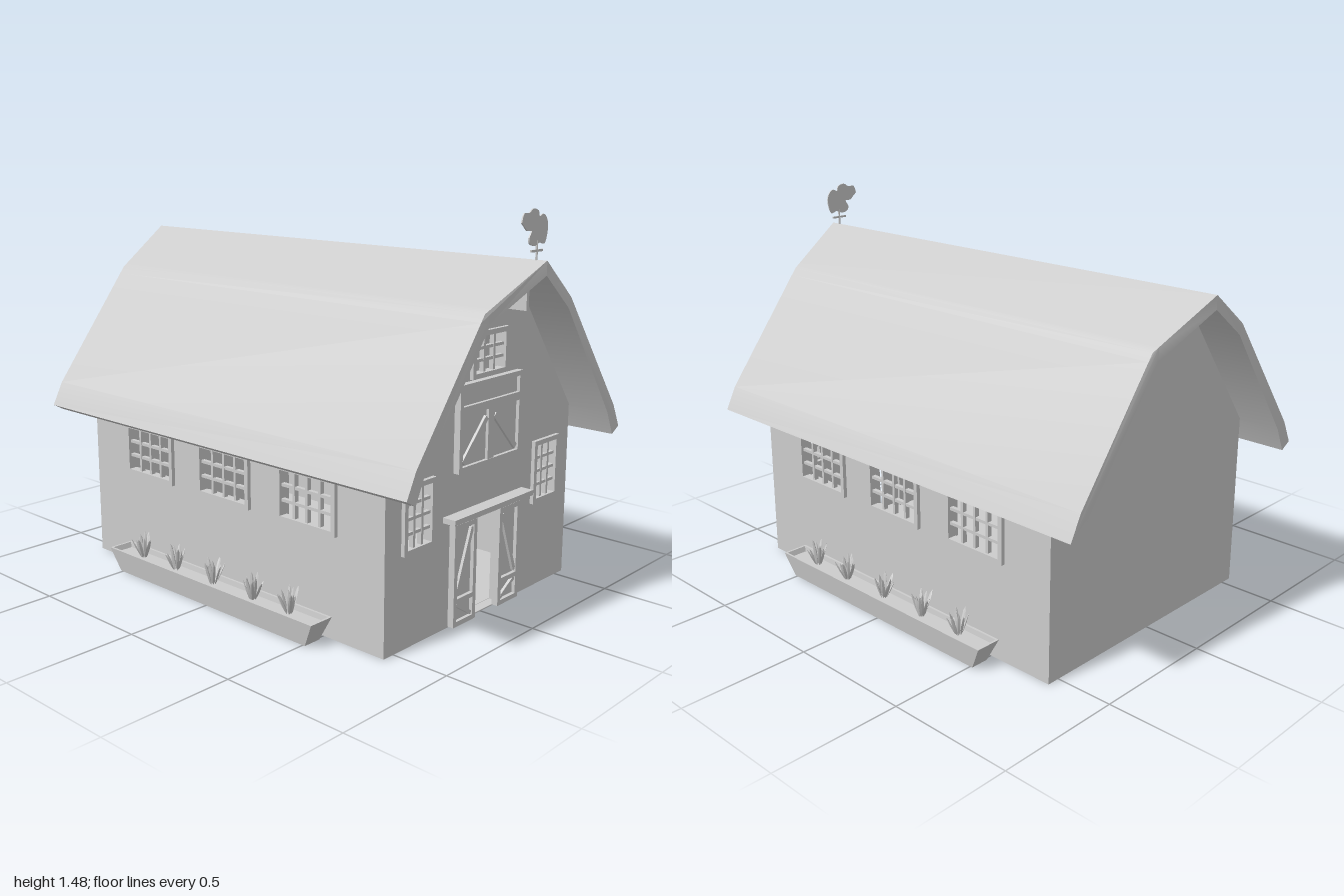
import * as THREE from 'three';
import { toCreasedNormals } from 'three/addons/utils/BufferGeometryUtils.js';

const mat = new THREE.MeshStandardMaterial({ color: 0xcccccc });
const WALL = 0.04, HALF_W = 0.55, HALF_L = 0.775;

function mesh(name, geometry, parent) {
  const m = new THREE.Mesh(geometry, mat);
  m.name = name;
  parent.add(m);
  return m;
}

// Box given by its x, y and z ranges
function box(name, parent, x0, x1, y0, y1, z0, z1) {
  const m = mesh(name, new THREE.BoxGeometry(Math.abs(x1 - x0), y1 - y0, z1 - z0), parent);
  m.position.set((x0 + x1) / 2, (y0 + y1) / 2, (z0 + z1) / 2);
  return m;
}

// Board running between two points in the xy plane
function brace(parent, ax, ay, bx, by, width, z0, z1) {
  const m = mesh('brace', new THREE.BoxGeometry(Math.hypot(bx - ax, by - ay), width, z1 - z0), parent);
  m.position.set((ax + bx) / 2, (ay + by) / 2, (z0 + z1) / 2);
  m.rotation.z = Math.atan2(by - ay, bx - ax);
}

const polygon = (points) => new THREE.Shape(points.map(([x, y]) => new THREE.Vector2(x, y)));

function rectPath(x0, x1, y0, y1) {
  return new THREE.Path([[x0, y0], [x1, y0], [x1, y1], [x0, y1]].map(([x, y]) => new THREE.Vector2(x, y)));
}

// Mirrors a half profile that starts on the centre line
const mirrored = (half) => [...half, ...half.slice(1).reverse().map(([x, y]) => [-x, y])];

function extrude(shape, depth) {
  return new THREE.ExtrudeGeometry(shape, { depth, bevelEnabled: false });
}

// Window frame with open panes, standing slightly proud of a wall whose face is z = 0
function windowFrame(parent, w, h, cols, rows) {
  const group = new THREE.Group();
  group.name = 'window';
  const f = 0.018, bar = 0.011;
  const ring = polygon([[-w / 2, -h / 2], [w / 2, -h / 2], [w / 2, h / 2], [-w / 2, h / 2]]);
  ring.holes.push(rectPath(-w / 2 + f, w / 2 - f, -h / 2 + f, h / 2 - f));
  mesh('windowFrame', extrude(ring, 0.035), group).position.z = -0.02;
  const iw = w - 2 * f, ih = h - 2 * f;
  for (let i = 1; i < cols; i++) {
    const x = -iw / 2 + iw * i / cols;
    box('mullion', group, x - bar / 2, x + bar / 2, -ih / 2, ih / 2, -0.012, 0.006);
  }
  for (let j = 1; j < rows; j++) {
    const y = -ih / 2 + ih * j / rows;
    box('glazingBar', group, -iw / 2, iw / 2, y - bar / 2, y + bar / 2, -0.011, 0.005);
  }
  parent.add(group);
  return group;
}

const holeFor = (x, y, w, h) => rectPath(x - w / 2 + 0.01, x + w / 2 - 0.01, y - h / 2 + 0.01, y + h / 2 - 0.01);

// Rectangular loops [y, halfX, halfZ] joined into a closed trough
function trough(loops) {
  const pos = [];
  const corner = ([y, hx, hz], k) => [[-hx, y, hz], [hx, y, hz], [hx, y, -hz], [-hx, y, -hz]][k % 4];
  const quad = (a, b, c, d) => pos.push(...a, ...b, ...c, ...a, ...c, ...d);
  for (let i = 0; i < loops.length - 1; i++) {
    for (let k = 0; k < 4; k++) {
      quad(corner(loops[i], k), corner(loops[i], k + 1), corner(loops[i + 1], k + 1), corner(loops[i + 1], k));
    }
  }
  const first = loops[0], last = loops[loops.length - 1];
  quad(...[3, 2, 1, 0].map((k) => corner(first, k)));
  quad(...[0, 1, 2, 3].map((k) => corner(last, k)));
  const g = new THREE.BufferGeometry();
  g.setAttribute('position', new THREE.Float32BufferAttribute(pos, 3));
  g.computeVertexNormals();
  return g;
}

// Clump of pointed leaves fanning out from the soil
function plant(parent, z, seed) {
  const group = new THREE.Group();
  group.name = 'plant';
  for (let i = 0; i < 11; i++) {
    const h = 0.065 + 0.035 * Math.abs(Math.sin(i * 2.3 + seed));
    const leaf = new THREE.SphereGeometry(1, 5, 4);
    leaf.scale(0.0085, h / 2, 0.003).translate(0, h / 2, 0);
    const m = mesh('leaf', toCreasedNormals(leaf, 0.4), group);
    const a = i * 2.4 + seed, tilt = i === 0 ? 0 : 0.18 + 0.13 * (i % 3);
    m.rotation.set(tilt, a, 0, 'YXZ');
    m.position.set(Math.sin(a) * 0.01, 0, Math.cos(a) * 0.01);
  }
  group.position.set(0, 0.075, z);
  parent.add(group);
}

export function createModel() {
  const barn = new THREE.Group();
  barn.name = 'barn';

  // Gable walls, the front one pierced for windows and doorway
  const gable = mirrored([[0, 1.26], [0.24, 1.12], [HALF_W, 0.69], [HALF_W, 0]]);
  const frontWindows = [[-0.383, 0.4625, 0.165, 0.245, 3, 4], [0.383, 0.4625, 0.165, 0.245, 3, 4], [0, 0.968, 0.21, 0.165, 3, 3]];
  const frontShape = polygon(gable);
  frontShape.holes.push(rectPath(-0.11, 0.11, 0.004, 0.375));
  for (const [x, y, w, h, cols, rows] of frontWindows) {
    frontShape.holes.push(holeFor(x, y, w, h));
    windowFrame(barn, w, h, cols, rows).position.set(x, y, HALF_L);
  }
  mesh('frontWall', extrude(frontShape, WALL), barn).position.z = HALF_L - WALL;
  mesh('backWall', extrude(polygon(gable), WALL), barn).position.z = -HALF_L;
  box('floor', barn, -HALF_W + WALL, HALF_W - WALL, 0, 0.005, -HALF_L + WALL, HALF_L - WALL);

  // Side walls with three windows each, and a planter in front
  for (const s of [-1, 1]) {
    const side = new THREE.Group();
    side.name = s > 0 ? 'leftSide' : 'rightSide';
    const L = HALF_L - WALL;
    const shape = polygon([[-L, 0], [L, 0], [L, 0.69], [-L, 0.69]]);
    for (const u of [-0.425, 0, 0.425]) {
      shape.holes.push(holeFor(u, 0.4825, 0.28, 0.205));
      windowFrame(side, 0.28, 0.205, 4, 3).position.set(u, 0.4825, 0);
    }
    mesh('sideWall', extrude(shape, WALL), side).position.z = -WALL;
    side.rotation.y = s * Math.PI / 2;
    side.position.x = s * HALF_W;
    barn.add(side);

    const planter = new THREE.Group();
    planter.name = 'planter';
    mesh('planterBox', trough([[0, 0.036, 0.51], [0.092, 0.052, 0.555], [0.092, 0.043, 0.546], [0.072, 0.04, 0.538]]), planter);
    [0.4, 0.215, 0, -0.21, -0.405].forEach((z, i) => plant(planter, z, i * 1.7 + s));
    planter.position.x = s * 0.618;
    barn.add(planter);
  }

  // Gambrel roof whose ridge juts out at both ends
  const roofGeo = extrude(polygon([
    ...[[0, 1.305], [0.235, 1.165], [0.26, 1.15], [0.28, 1.1235], [0.6, 0.7], [0.645, 0.61]],
    ...[[0.6, 0.585], [0.555, 0.68], [0.235, 1.115], [0, 1.255], [-0.235, 1.115], [-0.555, 0.68], [-0.6, 0.585]],
    ...[[-0.645, 0.61], [-0.6, 0.7], [-0.28, 1.1235], [-0.26, 1.15], [-0.235, 1.165]],
  ]), 1.88).translate(0, 0, -0.94);
  const p = roofGeo.attributes.position;
  for (let i = 0; i < p.count; i++) {
    const reach = 0.06 * Math.max(0, 1 - Math.abs(p.getX(i)) / 0.26);
    p.setZ(i, p.getZ(i) + Math.sign(p.getZ(i)) * reach);
  }
  mesh('roof', toCreasedNormals(roofGeo, 0.45), barn);
  box('hoistBeam', barn, -0.007, 0.007, 1.13, 1.258, HALF_L - 0.01, 0.93);

  // Sliding doors, pushed half open, under their rail
  box('doorRail', barn, -0.24, 0.24, 0.4, 0.42, HALF_L, 0.828);
  for (const s of [-1, 1]) {
    const door = new THREE.Group();
    door.name = s > 0 ? 'leftDoor' : 'rightDoor';
    const z = HALF_L, t = 0.8, X = (x) => s * x;
    box('doorPanel', door, X(0.072), X(0.198), 0.006, 0.38, z, 0.786);
    for (const x of [0.07, 0.182]) box('stile', door, X(x), X(x + 0.018), 0.004, 0.383, z, t);
    for (const [y0, y1] of [[0.004, 0.022], [0.09, 0.108], [0.365, 0.383]]) {
      box('crossRail', door, X(0.088), X(0.182), y0, y1, z, t);
    }
    brace(door, X(0.178), 0.118, X(0.092), 0.355, 0.016, z, 0.797);
    brace(door, X(0.178), 0.085, X(0.092), 0.03, 0.014, z, 0.797);
    barn.add(door);
  }

  // Closed loft hatch with two braced leaves
  const hatch = new THREE.Group();
  hatch.name = 'loftHatch';
  const hatchFrame = polygon([[-0.187, 0.567], [0.187, 0.567], [0.187, 0.88], [-0.187, 0.88]]);
  hatchFrame.holes.push(rectPath(-0.168, 0.168, 0.587, 0.772), rectPath(-0.168, 0.168, 0.802, 0.862));
  mesh('hatchFrame', extrude(hatchFrame, 0.025), hatch).position.z = HALF_L;
  box('hatchPanel', hatch, -0.175, 0.175, 0.575, 0.87, HALF_L, 0.787);
  box('hatchPost', hatch, -0.018, 0.018, 0.587, 0.772, HALF_L, 0.798);
  for (const s of [-1, 1]) brace(hatch, s * 0.024, 0.742, s * 0.158, 0.6, 0.02, HALF_L, 0.797);
  barn.add(hatch);

  // Weathervane: pole, crossbar and flat animal silhouette
  const vane = new THREE.Group();
  vane.name = 'weathervane';
  const outline = new THREE.SplineCurve([
    [-0.096, 1.432], [-0.084, 1.462], [-0.055, 1.462], [-0.03, 1.476], [0, 1.468], [0.008, 1.448],
    [0.03, 1.456], [0.05, 1.442], [0.06, 1.415], [0.053, 1.375], [0.04, 1.355], [0.015, 1.362],
    [-0.015, 1.352], [-0.045, 1.36], [-0.05, 1.38], [-0.036, 1.402], [-0.062, 1.404], [-0.08, 1.418], [-0.096, 1.432],
  ].map(([x, y]) => new THREE.Vector2(x, y)));
  mesh('silhouette', extrude(new THREE.Shape(outline.getPoints(54).slice(0, -1)), 0.005), vane).position.z = -0.0025;
  mesh('pole', new THREE.CylinderGeometry(0.004, 0.004, 0.08, 8), vane).position.y = 1.33;
  box('crossbar', vane, -0.035, 0.035, 1.331, 1.339, -0.0025, 0.0025);
  vane.position.z = 0.957;
  barn.add(vane);

  return barn;
}
